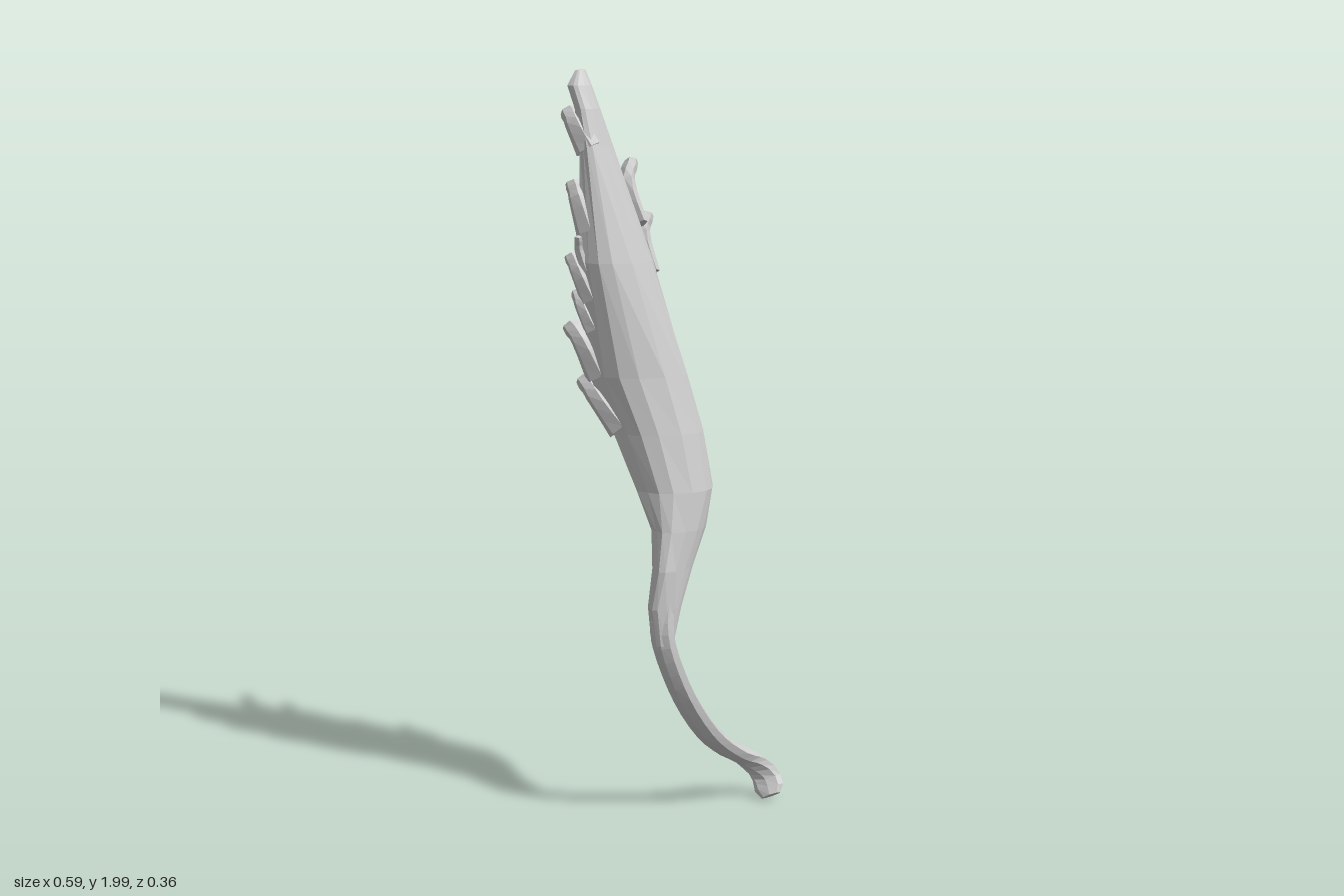
import * as THREE from 'three';

const material = new THREE.MeshStandardMaterial({ color: 0xcccccc, flatShading: true, side: THREE.DoubleSide });
const V = (p) => new THREE.Vector3(p[0], p[1], p[2]);

// Skins a list of closed rings and caps both ends
function loft(rings, name) {
  const pos = [], index = [], n = rings[0].length, last = rings.length - 1;
  rings.forEach((r) => r.forEach((p) => pos.push(p.x, p.y, p.z)));
  for (let i = 0; i < last; i++) {
    for (let j = 0; j < n; j++) {
      const a = i * n + j, b = i * n + (j + 1) % n;
      index.push(a, b, a + n, b, b + n, a + n);
    }
  }
  for (const i of [0, last]) {
    const c = rings[i].reduce((s, p) => s.add(p), new THREE.Vector3()).divideScalar(n);
    const k = pos.length / 3;
    pos.push(c.x, c.y, c.z);
    for (let j = 0; j < n; j++) {
      const a = i * n + j, b = i * n + (j + 1) % n;
      if (i === 0) index.push(k, b, a); else index.push(k, a, b);
    }
  }
  const g = new THREE.BufferGeometry();
  g.setAttribute('position', new THREE.Float32BufferAttribute(pos, 3));
  g.setIndex(index);
  g.computeVertexNormals();
  const mesh = new THREE.Mesh(g, material);
  mesh.name = name;
  return mesh;
}

// Sweeps an ellipse along points; size(t) gives [half width, half thickness]
function sweep(points, size, sides, steps, wide, name) {
  const curve = new THREE.CatmullRomCurve3(points.map(V));
  const rings = [];
  for (let i = 0; i <= steps; i++) {
    const t = i / steps, c = curve.getPoint(t), T = curve.getTangent(t);
    const N = wide.clone().addScaledVector(T, -wide.dot(T)).normalize();
    const B = new THREE.Vector3().crossVectors(T, N);
    const [w, h] = size(t), ring = [];
    for (let j = 0; j < sides; j++) {
      const a = (j / sides) * Math.PI * 2;
      ring.push(c.clone().addScaledVector(N, w * Math.cos(a)).addScaledVector(B, h * Math.sin(a)));
    }
    rings.push(ring);
  }
  return loft(rings, name);
}

// Blade sections: height, then x,z of front edge, front wall, rib, back wall, back edge
const sections = [
  [0.50, 0.015, 0.15, 0.045, 0.177, 0.075, 0.155, 0.07, 0.135, 0.04, 0.13],
  [0.60, 0.005, 0.15, 0.035, 0.183, 0.08, 0.145, 0.085, 0.11, 0.05, 0.095],
  [0.70, 0.01, 0.13, 0.05, 0.168, 0.095, 0.11, 0.10, 0.065, 0.06, 0.045],
  [0.80, 0.0, 0.11, 0.05, 0.135, 0.115, 0.07, 0.11, -0.01, 0.06, -0.035],
  [0.90, -0.045, 0.10, 0.04, 0.112, 0.127, 0.03, 0.105, -0.065, 0.03, -0.09],
  [1.05, -0.115, 0.09, -0.01, 0.102, 0.095, 0.01, 0.065, -0.09, -0.02, -0.115],
  [1.20, -0.185, 0.085, -0.07, 0.10, 0.05, 0, 0.02, -0.08, -0.06, -0.108],
  [1.50, -0.215, 0.08, -0.14, 0.09, -0.055, 0, -0.06, -0.06, -0.10, -0.098],
  [1.80, -0.23, 0.035, -0.20, 0.045, -0.165, -0.01, -0.165, -0.04, -0.18, -0.062],
  [1.90, -0.25, 0.02, -0.225, 0.028, -0.198, -0.01, -0.20, -0.035, -0.215, -0.052],
  [1.96, -0.275, 0.01, -0.25, 0.016, -0.222, -0.015, -0.225, -0.038, -0.24, -0.052],
  [2.00, -0.262, -0.015, -0.252, -0.015, -0.243, -0.025, -0.243, -0.04, -0.25, -0.046],
];

function bladeRing(s) {
  const pts = [];
  for (let i = 0; i < 5; i++) pts.push(V([s[1 + 2 * i], s[0], s[2 + 2 * i]]));
  const outer = new THREE.CatmullRomCurve3(pts).getPoints(10);
  const mid = pts[0].clone().add(pts[4]).multiplyScalar(0.5);
  // Inner wall is pulled in towards the opening of the trough
  const inner = outer.map((p) => {
    const d = mid.clone().sub(p), len = d.length() || 1;
    return p.clone().addScaledVector(d, Math.min(0.03, 0.45 * len) / len);
  });
  return [...outer, ...inner.reverse()];
}

// Point on the front (1) or back (9) edge at a given height
function edge(y, k) {
  let i = 0;
  while (i < sections.length - 2 && sections[i + 1][0] < y) i++;
  const a = sections[i], b = sections[i + 1], t = (y - a[0]) / (b[0] - a[0]);
  return [a[k] + (b[k] - a[k]) * t, y, a[k + 1] + (b[k + 1] - a[k + 1]) * t];
}

// Blunt finger, broad at the root, growing up and out of an edge to a tip
function lobe(k, tip, rise, r, name) {
  const base = edge(tip[1] - rise, k), near = edge(tip[1] - rise * 0.45, k);
  const inset = [base[0] + 0.02, base[1], base[2] + (k === 1 ? -0.01 : 0.012)];
  const bend = near.map((v, i) => v * 0.65 + tip[i] * 0.35);
  const wide = new THREE.Vector3(1, 0, k === 1 ? 0 : 1).normalize();
  return sweep([inset, bend, tip], (t) => {
    const w = r * (1.7 - 0.9 * t + (t > 0.8 ? 0.2 : 0));
    return [w, Math.min(w * 0.8, 0.02)];
  }, 6, 6, wide, name);
}

export function createModel() {
  const model = new THREE.Group();
  model.name = 'curledLeaf';
  model.add(loft(sections.map(bladeRing), 'blade'));

  // Flattened stalk whose end turns down into a thin rounded tongue
  const stalk = [
    [0.265, 0.022, -0.117], [0.24, 0.07, -0.14], [0.20, 0.115, -0.125], [0.163, 0.16, -0.06],
    [0.13, 0.22, 0.01], [0.095, 0.32, 0.083], [0.068, 0.42, 0.128], [0.048, 0.52, 0.153],
    [0.045, 0.60, 0.145], [0.055, 0.68, 0.12],
  ];
  model.add(sweep(stalk, (t) => [
    t < 0.04 ? 0.028 : 0.042 - 0.01 * t,
    t < 0.2 ? 0.014 + 0.045 * t : 0.023,
  ], 8, 24, new THREE.Vector3(1, 0, 0), 'stalk'));

  // Lobes along both edges: tip, rise, radius
  const front = [
    [[-0.278, 1.895, 0.0], 0.10, 0.022], [[-0.25, 1.71, 0.04], 0.13, 0.02],
    [[-0.245, 1.52, 0.07], 0.12, 0.018], [[-0.212, 1.57, 0.092], 0.12, 0.01],
    [[-0.25, 1.335, 0.07], 0.14, 0.022], [[-0.215, 1.19, 0.06], 0.13, 0.022],
    [[-0.235, 1.42, 0.05], 0.1, 0.016],
  ];
  const back = [
    [[-0.16, 1.75, -0.158], 0.16, 0.022], [[-0.11, 1.61, -0.145], 0.15, 0.022],
    [[-0.12, 1.47, -0.118], 0.12, 0.018], [[-0.105, 1.31, -0.13], 0.13, 0.02],
    [[-0.06, 1.15, -0.168], 0.1, 0.03],
  ];
  front.forEach(([tip, rise, r], i) => model.add(lobe(1, tip, rise, r, 'frontLobe' + (i + 1))));
  back.forEach(([tip, rise, r], i) => model.add(lobe(9, tip, rise, r, 'backLobe' + (i + 1))));
  return model;
}
